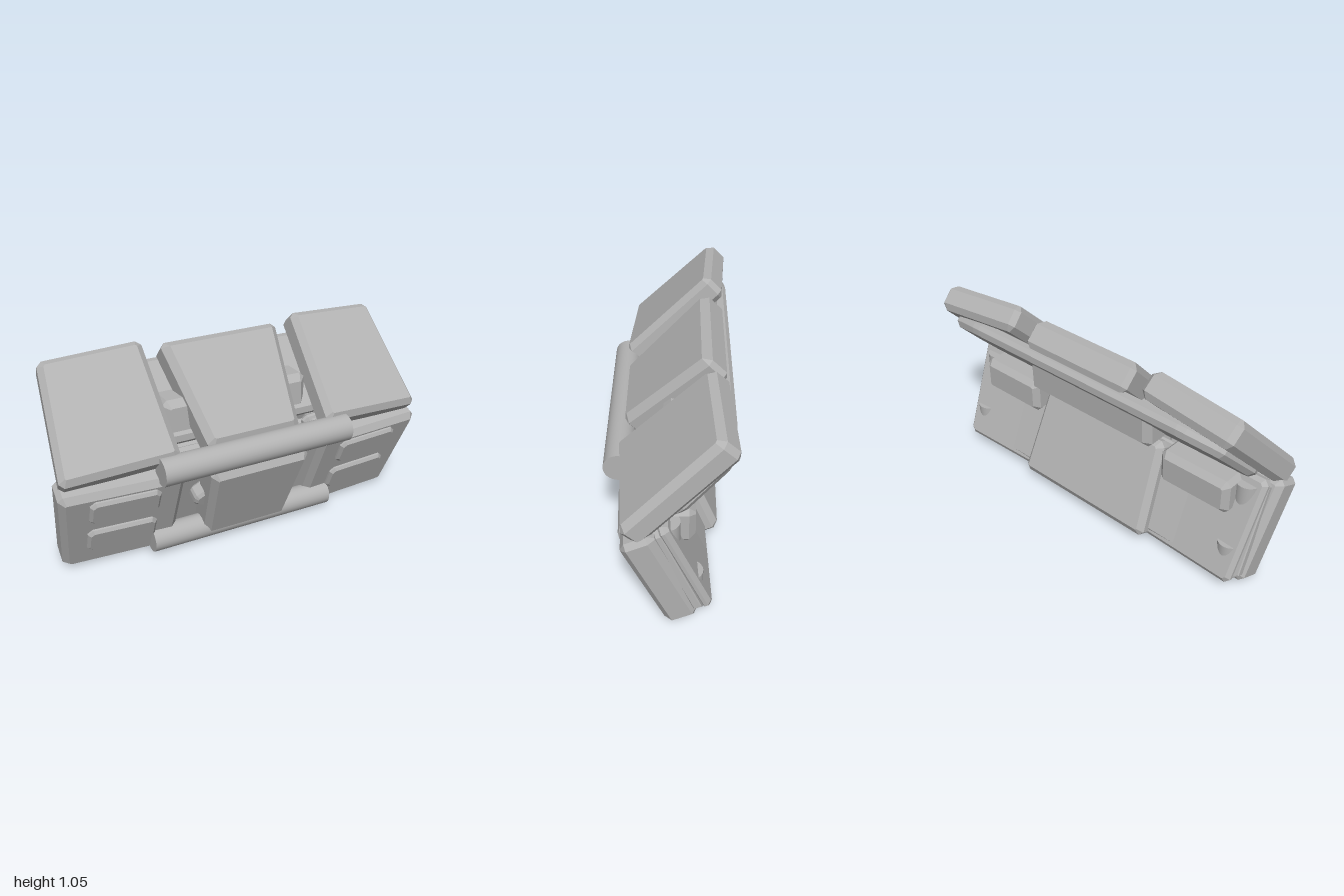
import * as THREE from 'three';

const grey = new THREE.MeshStandardMaterial({ color: 0xb2b2b2 });
grey.name = 'grey';

function add(parent, name, geometry, pos = [0, 0, 0], rot = [0, 0, 0]) {
  const m = new THREE.Mesh(geometry, grey);
  m.name = name;
  m.position.set(...pos);
  m.rotation.set(...rot);
  parent.add(m);
  return m;
}

// Cut every corner of an outline by a fixed length
function cutCorners(pts, c) {
  const out = [];
  pts.forEach((p, i) => {
    const v = new THREE.Vector2(...p);
    for (const j of [i - 1, i + 1]) {
      const n = new THREE.Vector2(...pts[(j + pts.length) % pts.length]);
      out.push(v.clone().add(n.sub(v).normalize().multiplyScalar(c)));
    }
  });
  return out;
}

// Chamfered plate with an outline in x/y, from back to front in z; side = -1 mirrors it
function slab(pts, back, front, bevel = 0.025, side = 1, cut = 0.025) {
  const shape = new THREE.Shape(cutCorners(pts.map(([x, y]) => [x * side, y]), cut));
  const g = new THREE.ExtrudeGeometry(shape, {
    depth: front - back - 2 * bevel, bevelEnabled: true, bevelSegments: 1,
    bevelSize: bevel, bevelThickness: bevel, bevelOffset: -bevel,
  });
  return g.translate(0, 0, back + bevel);
}

const rect = (x0, x1, y0, y1) => [[x0, y0], [x1, y0], [x1, y1], [x0, y1]];
const trapezoid = (low, high, y0, y1) => [[-low, y0], [low, y0], [high, y1], [-high, y1]];

function lowerHalf() {
  const g = new THREE.Group();
  g.name = 'lowerHalf';
  g.rotation.x = 0.4;
  add(g, 'lowerCore', slab(rect(-0.6, 0.6, 0.02, 0.5), -0.21, -0.07, 0.01));
  add(g, 'lowerFrontPanel', slab(trapezoid(0.235, 0.27, 0.05, 0.575), -0.08, 0.087, 0.03));
  add(g, 'lowerBackPanel', slab(trapezoid(0.42, 0.39, -0.015, 0.49), -0.27, -0.15, 0.03));
  add(g, 'sideKnobs', slab([[-0.3, 0.29], [-0.25, 0.26], [0.25, 0.26], [0.3, 0.29],
    [0.3, 0.34], [0.25, 0.38], [-0.25, 0.38], [-0.3, 0.34]], -0.07, 0.02, 0.015, 1, 0.01));
  for (const s of [1, -1]) {
    // Wings angle slightly back towards their outer ends
    const wing = new THREE.Group();
    wing.name = s > 0 ? 'leftLowerWing' : 'rightLowerWing';
    wing.position.x = s * 0.38;
    wing.rotation.y = s * 0.05;
    g.add(wing);
    add(wing, 'wingPanel', slab([[0, 0], [0.58, 0], [0.62, 0.555], [0, 0.555]], -0.135, 0.025, 0.03, s));
    add(wing, 'wingSeam', slab(rect(0.02, 0.575, 0.02, 0.535), -0.16, -0.12, 0.005, s));
    add(wing, 'wingBackPlate', slab([[0, -0.01], [0.55, -0.01], [0.58, 0.545], [0, 0.545]], -0.2, -0.145, 0.02, s));
    for (const y of [0.14, 0.36]) {
      add(wing, 'raisedPad', slab(rect(0.125, 0.475, y, y + 0.155), 0, 0.048, 0.014, s));
    }
  }
  return g;
}

function upperHalf() {
  const g = new THREE.Group();
  g.name = 'upperHalf';
  g.rotation.x = -Math.PI / 4;
  add(g, 'upperFrontPanel', slab(trapezoid(0.25, 0.325, 0.28, 0.86), 0.45, 0.615, 0.035));
  add(g, 'upperBackPlate', slab([[-0.84, 0.385], [0.84, 0.385], [0.92, 0.5], [0.86, 0.8],
    [0.66, 0.845], [-0.66, 0.845], [-0.86, 0.8], [-0.92, 0.5]], 0.4, 0.475, 0.025));
  for (const s of [1, -1]) {
    const wing = new THREE.Group();
    wing.name = s > 0 ? 'leftUpperWing' : 'rightUpperWing';
    wing.position.x = s * 0.4;
    wing.rotation.y = s * 0.09;
    g.add(wing);
    add(wing, 'wingPanel', slab([[0, 0.27], [0.585, 0.27], [0.525, 0.89], [0.015, 0.89]], 0.485, 0.625, 0.03, s)
      .translate(-s * 0.05, 0, 0));
  }
  return g;
}

export function createModel() {
  const model = new THREE.Group();
  model.name = 'foldedPanelModel';
  model.add(lowerHalf(), upperHalf());

  // Horizontal hinge bars
  for (const [name, y, z, r] of [['upperHingeBar', 0.562, 0.234, 0.071], ['lowerHingeBar', 0.08, 0.06, 0.066]]) {
    add(model, name, new THREE.CylinderGeometry(r, r, 1.03, 32), [0, y, z], [0, 0, Math.PI / 2]);
  }

  // Rear connecting block beneath the upper plate
  add(model, 'rearBlock', slab(rect(-0.4, 0.4, 0.59, 0.8), -0.165, 0.05, 0.035), [0, 0, 0], [-0.03, 0, 0]);

  // Rear side blocks and upright pegs
  for (const s of [1, -1]) {
    add(model, 'rearSideBlock', slab(rect(0.42, 0.82, 0.385, 0.57), -0.125, 0.04, 0.03, s));
    for (const [y0, y1, z] of [[0.1, 0.25, -0.1], [0.4, 0.545, 0.005]]) {
      add(model, 'rearPeg', new THREE.CylinderGeometry(0.062, 0.062, y1 - y0, 24), [s * 0.85, (y0 + y1) / 2, z]);
    }
  }
  return model;
}
